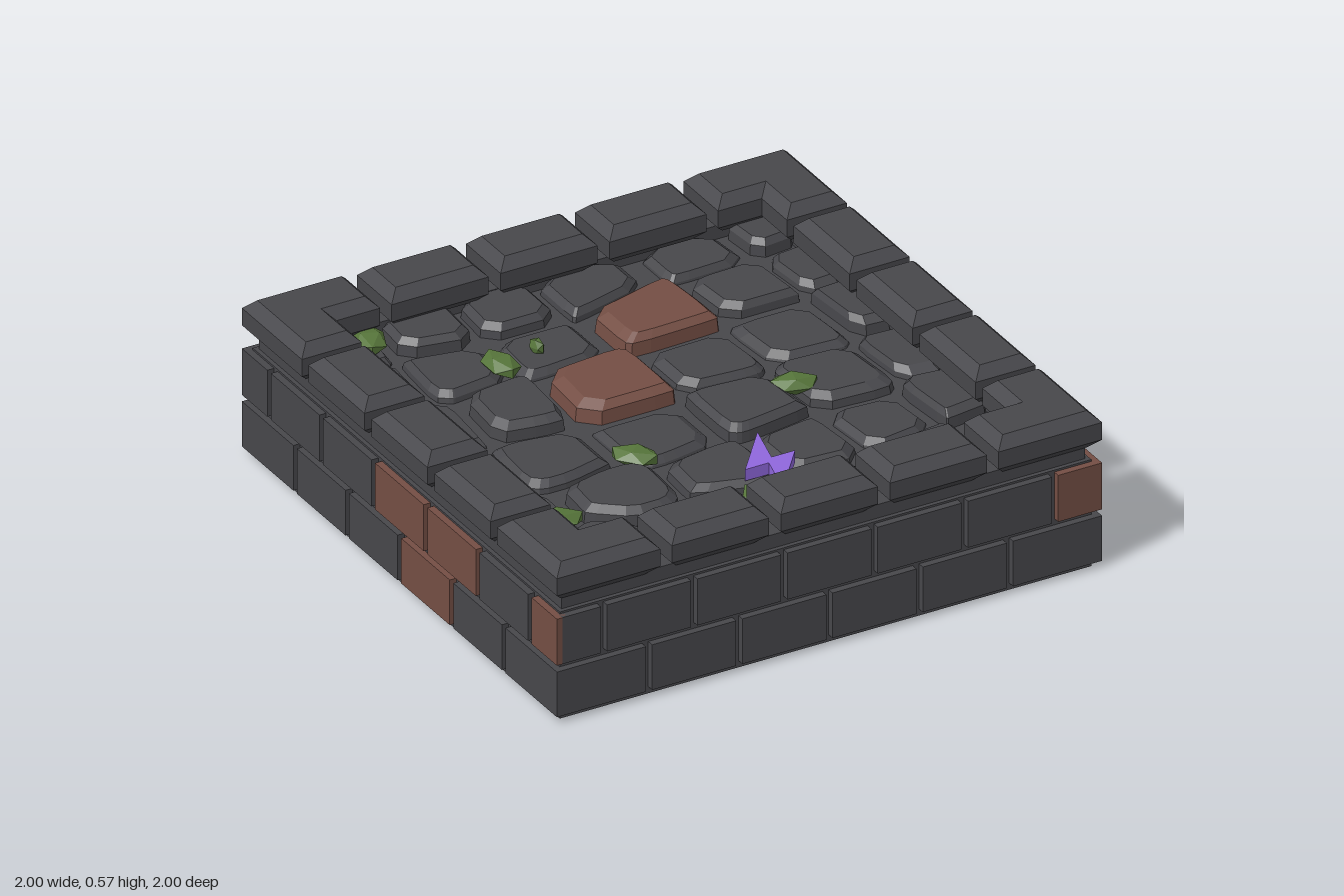
import * as THREE from 'three';

const mat = (name, color) => Object.assign(new THREE.MeshStandardMaterial({ color }), { name });

// Keep the part of a convex polygon where n.p <= d
function clip(poly, nx, nz, d) {
  const out = [];
  poly.forEach((p, i) => {
    const q = poly[(i + 1) % poly.length];
    const a = p[0] * nx + p[1] * nz - d, b = q[0] * nx + q[1] * nz - d;
    if (a <= 0) out.push(p);
    if (a * b < 0) out.push([p[0] + (q[0] - p[0]) * a / (a - b), p[1] + (q[1] - p[1]) * a / (a - b)]);
  });
  return out;
}

// Cut every corner of a polygon
function cutCorners(poly, t) {
  return poly.flatMap((p, i) => {
    const a = poly.at(i - 1), b = poly[(i + 1) % poly.length];
    return [a, b].map(q => [p[0] + (q[0] - p[0]) * t, p[1] + (q[1] - p[1]) * t]);
  });
}

// Bevelled paving stone: rings of the outline joined by flat faces
function stoneGeometry(poly, h) {
  const n = poly.length;
  const cx = poly.reduce((s, p) => s + p[0], 0) / n, cz = poly.reduce((s, p) => s + p[1], 0) / n;
  const ring = (s, y) => poly.map(p => [cx + (p[0] - cx) * s, y, cz + (p[1] - cz) * s]);
  const rings = [ring(1, 0.385), ring(0.97, h - 0.022), ring(0.8, h)];
  const v = [];
  for (let i = 0; i < n; i++) {
    const j = (i + 1) % n;
    for (let k = 0; k < 2; k++) {
      const [a, b, c, d] = [rings[k][i], rings[k][j], rings[k + 1][j], rings[k + 1][i]];
      v.push(...a, ...c, ...b, ...a, ...d, ...c);
    }
    v.push(cx, h, cz, ...rings[2][j], ...rings[2][i]);
  }
  const g = new THREE.BufferGeometry();
  g.setAttribute('position', new THREE.Float32BufferAttribute(v, 3));
  g.computeVertexNormals();
  return g;
}

// Upright extrusion of an x,z outline
function slab(points, y, depth, bevel = 0) {
  const shape = new THREE.Shape(points.map(([x, z]) => new THREE.Vector2(x, -z)));
  const g = new THREE.ExtrudeGeometry(shape, {
    depth: depth - 2 * bevel, bevelEnabled: bevel > 0, bevelSize: bevel, bevelThickness: bevel,
    bevelOffset: -bevel, bevelSegments: 1,
  });
  return g.rotateX(-Math.PI / 2).translate(0, y + bevel, 0);
}

export function createModel() {
  const root = new THREE.Group();
  root.name = 'dungeonFloorTile';
  const stone = mat('darkStone', 0x47474b), red = mat('redBrick', 0x744e44);
  const green = mat('moss', 0x56753a), purple = mat('purpleRune', 0x9068dd);
  const add = (name, geo, m, parent = root) => {
    const mesh = new THREE.Mesh(geo, m);
    mesh.name = name;
    parent.add(mesh);
    return mesh;
  };

  // Solid core
  add('core', new THREE.BoxGeometry(1.95, 0.39, 1.95).translate(0, 0.195, 0), stone);

  // Two brick courses on each side
  const sides = [
    { name: 'front', axis: 'x', s: 1, end: 0.98, redLow: [], redHigh: [6] },
    { name: 'back', axis: 'x', s: -1, end: 0.98, redLow: [1], redHigh: [3] },
    { name: 'left', axis: 'z', s: 1, end: 1, redLow: [1, 3], redHigh: [4, 5, 6] },
    { name: 'right', axis: 'z', s: -1, end: 1, redLow: [3], redHigh: [3, 4, 6] },
  ];
  for (const { name, axis, s, end, redLow, redHigh } of sides) {
    const wall = new THREE.Group();
    wall.name = name + 'Bricks';
    root.add(wall);
    for (const high of [0, 1]) {
      const count = 6 + high, reds = high ? redHigh : redLow;
      for (let i = 0; i < count; i++) {
        const mid = (i - (count - 1) / 2) * 0.331;
        const u0 = i === 0 ? -end : mid - 0.154, u1 = i === count - 1 ? end : mid + 0.154;
        const h = high ? 0.17 : 0.165, len = u1 - u0, u = (u0 + u1) / 2;
        const g = axis === 'x' ? new THREE.BoxGeometry(len, h, 0.04) : new THREE.BoxGeometry(0.04, h, len);
        const brick = add('brick', g, reds.includes(i) ? red : stone, wall);
        brick.position.set(axis === 'x' ? u : s * 0.98, high ? 0.298 : 0.107, axis === 'x' ? s * 0.98 : u);
      }
    }
  }

  // Mortar ring, bevelled rim blocks and L-shaped corners
  const rim = new THREE.Group();
  rim.name = 'rim';
  root.add(rim);
  const inner = 0.78, end = 0.62, w = 0.178;
  const block = slab([[-w, 1], [w, 1], [w, inner], [-w, inner]], 0.432, 0.135, 0.036);
  const corner = slab([[1, 1], [1, end], [inner, end], [inner, inner], [end, inner], [end, 1]], 0.432, 0.135, 0.036);
  for (let k = 0; k < 4; k++) {
    const side = new THREE.Group();
    side.name = 'rimSide';
    side.rotation.y = k * Math.PI / 2;
    rim.add(side);
    add('mortar', new THREE.BoxGeometry(1.92, 0.055, 0.12).translate(0, 0.412, 0.9), stone, side);
    for (const x of [-0.4, 0, 0.4]) add('rimBlock', block, stone, side).position.x = x;
    add('rimCorner', corner, stone, side);
  }

  // Paving stones: each row has a depth z and the centres along x
  const rows = [
    { z: -0.76, xs: [-0.76, -0.47, -0.19, 0.12, 0.53, 0.8] },
    { z: -0.5, xs: [-0.8, -0.52, -0.19, 0.19, 0.54, 0.83], redAt: 3 },
    { z: -0.18, xs: [-0.76, -0.48, -0.16, 0.2, 0.54, 0.85], redAt: 2 },
    { z: 0.15, xs: [-0.87, -0.54, -0.16, 0.17, 0.52, 0.83] },
    { z: 0.47, xs: [-0.82, -0.46, -0.1, 0.22, 0.5, 0.79] },
    { z: 0.74, xs: [-0.66, -0.18, 0.2, 0.54, 0.83] },
  ];
  const cells = rows.flatMap(({ z, xs, redAt }, r) => xs.map((x, i) => ({
    x, z: z + 0.03 * Math.cos(3 * x), isRed: i === redAt,
    h: i === redAt ? 0.46 : 0.42 + 0.01 * ((i * 3 + r * 2) % 4),
  })));
  const paving = new THREE.Group();
  paving.name = 'paving';
  root.add(paving);
  for (const c of cells) {
    const { x, z, h, isRed } = c;
    const a = isRed ? 0.175 : 0.165, b = isRed ? 0.18 : 0.155, edge = 0.86;
    const x0 = Math.max(x - a, -edge), x1 = Math.min(x + a, edge);
    const z0 = Math.max(z - b, -edge), z1 = Math.min(z + b, edge);
    let poly = [[x0, z0], [x1, z0], [x1, z1], [x0, z1]];
    // Trim against neighbours, leaving a groove
    for (const o of cells) {
      if (o === c) continue;
      const dx = o.x - x, dz = o.z - z, l = Math.hypot(dx, dz);
      const reach = l / 2 - 0.018 + 0.015 * (isRed - o.isRed);
      poly = clip(poly, dx / l, dz / l, (x * dx + z * dz) / l + reach);
    }
    add(isRed ? 'redPavingStone' : 'pavingStone', stoneGeometry(cutCorners(poly, 0.2), h), isRed ? red : stone, paving);
  }

  // Moss clumps: x, z, turn; the last is a small tuft
  const clumps = [[-0.67, -0.76, -0.4], [-0.385, -0.42, 0], [0.36, 0.15, 1.3], [-0.31, 0.3, 0.7],
    [-0.72, 0.53, 1.3], [-0.085, 0.73, 0.4], [-0.23, -0.46, 0.4]];
  clumps.forEach(([x, z, turn], i) => {
    const size = i === 6 ? 0.35 : 1;
    const moss = add('mossClump', new THREE.IcosahedronGeometry(1, 0), green);
    moss.position.set(x, 0.438, z);
    moss.scale.set(0.058 * size, 0.032, 0.09 * size);
    moss.rotation.y = turn;
  });

  // Zigzag rune: half an outline, repeated by a half turn
  const half = [[0.065, 0.43], [-0.09, 0.62], [-0.003, 0.62]];
  const outline = [...half, ...half.map(([x, z]) => [0.02 - x, 1.212 - z])];
  add('zigzagRune', slab(outline, 0.44, 0.042), purple);
  return root;
}
